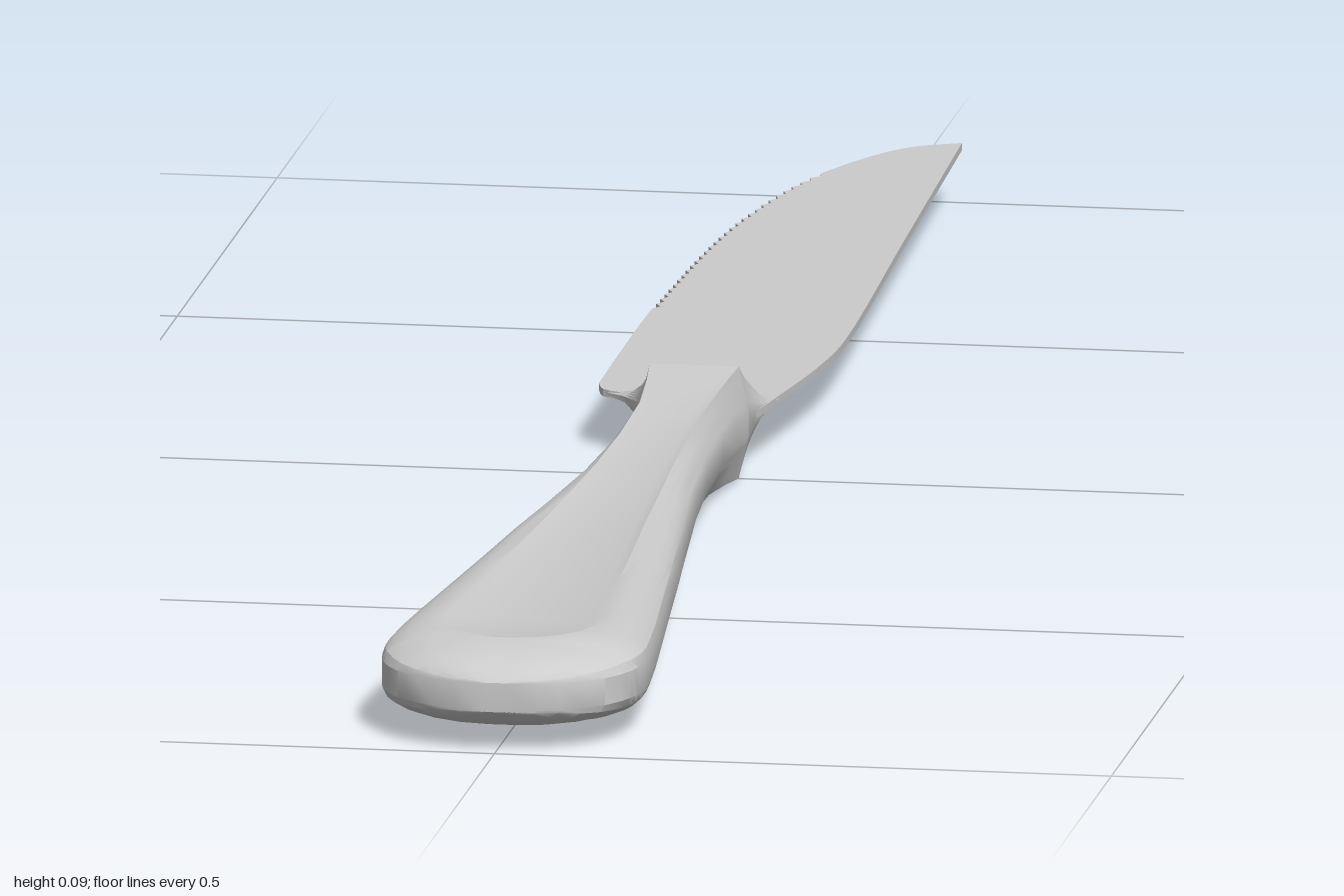
import * as THREE from 'three';
import { toCreasedNormals } from 'three/addons/utils/BufferGeometryUtils.js';

const MID = 0.048; // height of the knife's middle plane

// Closed ring, counter-clockwise seen from +z.
// w, h: half width and height; p: half width of the flat panel; e: half height of the side rim;
// round: 0 straight chamfer, 1 round shoulder; d: panel recess; cx: sideways shift
function ring({ z, w, h, p, e = 0.011, round = 1, d = 0, cx = 0 }) {
  const q = Math.min(p + 0.008, w * 0.85);
  const quarter = [];
  for (let i = 0; i <= 5; i++) {
    const s = i / 5, t = s * Math.PI / 2;
    const x = THREE.MathUtils.lerp(1 - s, Math.cos(t), round);
    const y = THREE.MathUtils.lerp(s, Math.sin(t), round);
    quarter.push([q + (w - q) * x, e + (h - e) * y]);
  }
  quarter.push([Math.min(p, q), h - d]);
  const back = [...quarter].reverse();
  return [
    ...quarter,
    ...back.map(([x, y]) => [-x, y]),
    ...quarter.map(([x, y]) => [-x, -y]),
    ...back.map(([x, y]) => [x, -y]),
  ].map(([x, y]) => [x + cx, y + MID, z]);
}

// Skin over rings ordered by rising z, closed at the far end if asked
function loft(rings, cap) {
  const n = rings[0].length, index = [];
  for (let i = 0; i < rings.length - 1; i++) {
    for (let j = 0; j < n; j++) {
      const k = (j + 1) % n;
      const a = i * n + j, b = i * n + k, c = a + n, f = b + n;
      index.push(a, b, f, a, f, c);
    }
  }
  const last = (rings.length - 1) * n;
  if (cap) for (let j = 1; j < n - 1; j++) index.push(last, last + j, last + j + 1);
  const g = new THREE.BufferGeometry();
  g.setAttribute('position', new THREE.Float32BufferAttribute(rings.flat(2), 3));
  g.setIndex(index);
  return toCreasedNormals(g, 0.45);
}

// Blade outline in (x, -z), with a saw-toothed cutting edge
function bladeGeometry() {
  const v = (x, y) => new THREE.Vector2(x, y);
  const edge = new THREE.SplineCurve([
    v(-0.095, 0.11), v(-0.096, 0.32), v(-0.093, 0.45), v(-0.086, 0.6), v(-0.075, 0.71),
    v(-0.053, 0.83), v(-0.02, 0.92), v(0.015, 0.977), v(0.055, 1),
  ]);
  const spine = new THREE.SplineCurve([
    v(0.055, 1), v(0.065, 0.65), v(0.075, 0.32), v(0.07, 0.2), v(0.055, 0.09), v(0.044, 0.02),
  ]);
  const heel = new THREE.SplineCurve([
    v(-0.044, 0.02), v(-0.053, 0.04), v(-0.07, 0.075), v(-0.088, 0.088), v(-0.095, 0.11),
  ]);
  const points = heel.getPoints(12);
  edge.getSpacedPoints(108).slice(1).forEach((pt, i) => {
    const toothed = pt.y > 0.38 && pt.y < 0.87;
    if (toothed && i % 2) pt.x += 0.005;
    points.push(pt);
  });
  points.push(...spine.getPoints(24).slice(1));
  const g = new THREE.ExtrudeGeometry(new THREE.Shape(points), { depth: 0.006, bevelEnabled: false });
  g.rotateX(-Math.PI / 2);
  g.translate(0, MID - 0.003, 0);
  return g;
}

export function createModel() {
  const steel = new THREE.MeshStandardMaterial({ color: 0xcccccc });
  steel.name = 'steel';
  const group = new THREE.Group();
  group.name = 'tableKnife';
  const add = (name, geometry) => {
    const mesh = new THREE.Mesh(geometry, steel);
    mesh.name = name;
    group.add(mesh);
  };

  // Handle: z, half width, half height, panel half width, roundness, recess
  const handleRows = [
    [0, 0.044, 0.046, 0.028, 0, 0],
    [0.04, 0.041, 0.042, 0.024, 0, 0],
    [0.1, 0.04, 0.037, 0.02, 0.1, 0.001],
    [0.2, 0.043, 0.034, 0.02, 0.25, 0.002],
    [0.3, 0.05, 0.032, 0.023, 0.5, 0.002],
    [0.4, 0.06, 0.031, 0.028, 0.8, 0.003],
    [0.5, 0.07, 0.031, 0.033, 1, 0.003],
    [0.6, 0.08, 0.031, 0.039, 1, 0.003],
    [0.7, 0.09, 0.032, 0.045, 1, 0.003],
    [0.8, 0.1, 0.033, 0.051, 1, 0.003],
    [0.85, 0.104, 0.034, 0.054, 1, 0.003],
    [0.88, 0.106, 0.034, 0.053, 1, 0.003],
    [0.905, 0.106, 0.035, 0.045, 1, 0.003],
    [0.92, 0.104, 0.035, 0.033, 1, 0.003],
    [0.93, 0.102, 0.035, 0.018, 1, 0.002],
    [0.936, 0.1, 0.035, 0.002, 1, 0],
    [0.95, 0.094, 0.033, 0.002, 1, 0],
    [0.965, 0.084, 0.03, 0.002, 1, 0],
    [0.978, 0.069, 0.026, 0.002, 1, 0],
    [0.988, 0.051, 0.021, 0.002, 1, 0],
    [0.995, 0.033, 0.016, 0.002, 1, 0],
    [1, 0.008, 0.012, 0.002, 1, 0],
  ];
  add('handle', loft(handleRows.map(([z, w, h, p, round, d]) => ring({ z, w, h, p, round, d })), true));

  // Bolster: wedge that flattens from the neck into the blade
  const bolsterRows = [
    [-0.085, 0.07, 0.002, 0.055, 0.001, -0.015],
    [-0.07, 0.06, 0.007, 0.046, 0.002, -0.009],
    [-0.05, 0.053, 0.017, 0.038, 0.004, -0.005],
    [-0.025, 0.047, 0.031, 0.031, 0.008, -0.002],
    [0, 0.044, 0.046, 0.028, 0.011, 0],
  ];
  add('bolster', loft(bolsterRows.map(([z, w, h, p, e, cx]) => ring({ z, w, h, p, e, cx, round: 0 })), false));

  add('blade', bladeGeometry());
  return group;
}
